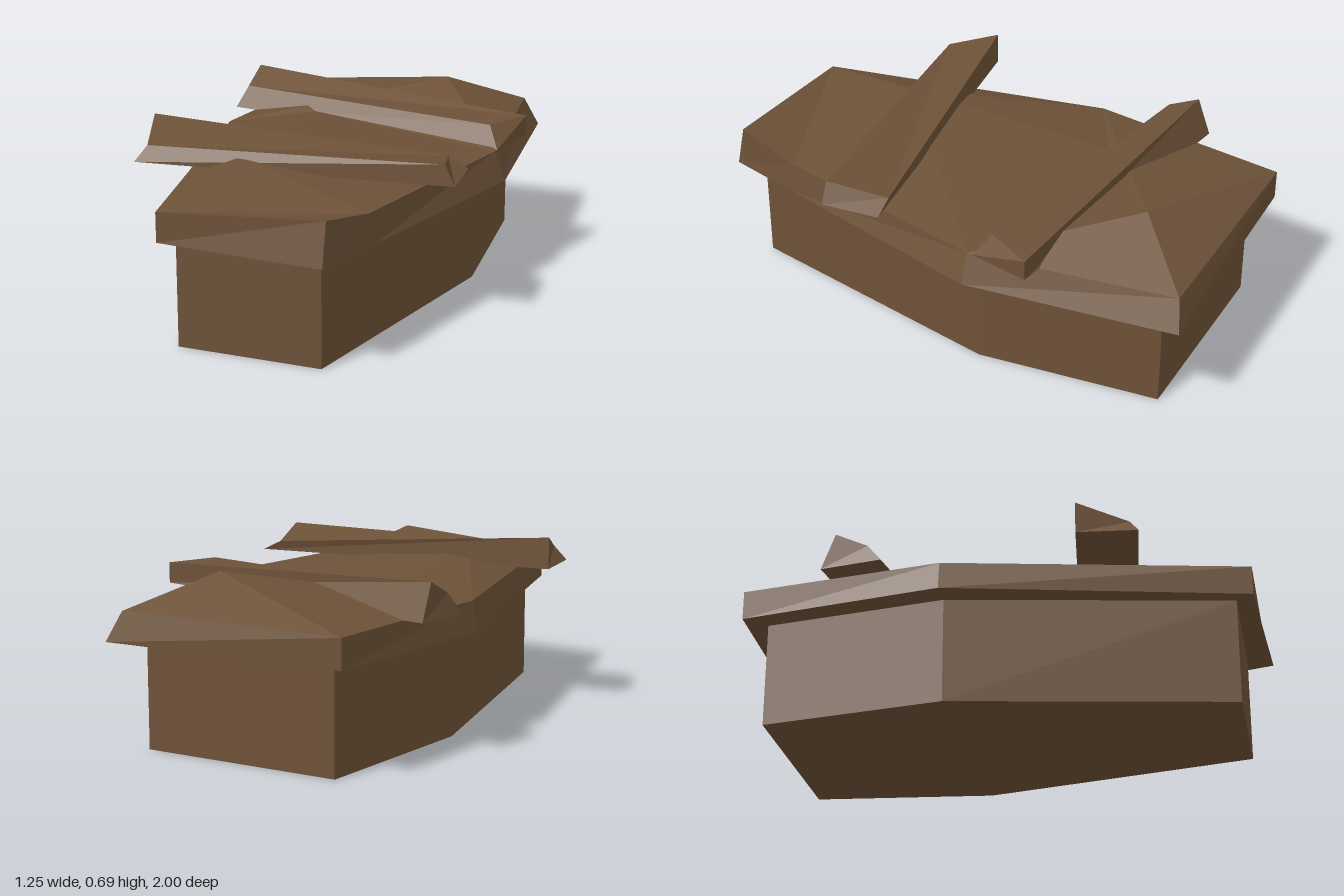
import * as THREE from 'three';

const wood = new THREE.MeshStandardMaterial({ color: 0x6d5138, flatShading: true });
wood.name = 'dark brown wood';

// Faceted solid from a bottom ring and a top ring (counter-clockwise from above).
// Extra peaks may follow the top ring; capFaces then lists the triangles on top.
function facetedSolid(name, bottom, top, capFaces) {
  const n = bottom.length;
  const fan = [];
  for (let i = 1; i < n - 1; i++) fan.push([0, i, i + 1]);
  const triangles = [];
  for (const [a, b, c] of capFaces || fan) triangles.push(top[a], top[b], top[c]);
  for (const [a, b, c] of fan) triangles.push(bottom[a], bottom[c], bottom[b]);
  for (let i = 0; i < n; i++) {
    const j = (i + 1) % n;
    triangles.push(bottom[i], bottom[j], top[j], bottom[i], top[j], top[i]);
  }
  const geometry = new THREE.BufferGeometry();
  geometry.setAttribute('position', new THREE.Float32BufferAttribute(triangles.flat(), 3));
  geometry.computeVertexNormals();
  const mesh = new THREE.Mesh(geometry, wood);
  mesh.name = name;
  return mesh;
}

const atHeight = (points, y) => points.map(([x, z]) => [x, y, z]);

export function createModel() {
  const group = new THREE.Group();
  group.name = 'coffin';

  // Six-sided box, widest at the shoulders
  const boxPlan = [[-0.27, 0.9], [0.29, 0.9], [0.495, -0.18], [0.41, -0.89], [-0.38, -0.89], [-0.475, -0.18]];
  group.add(facetedSolid('box', atHeight(boxPlan, 0), atHeight(boxPlan, 0.415)));

  // Overhanging lid with an uneven, faceted top
  const lidPlan = [[-0.315, 0.965], [0.335, 1], [0.408, 0.7], [0.62, -0.18], [0.515, -1], [-0.455, -0.97], [-0.575, -0.18]];
  const lidTop = [
    [-0.315, 0.53, 0.965], [0.335, 0.58, 0.965], [0.39, 0.53, 0.7], [0.577, 0.53, -0.18],
    [0.46, 0.53, -0.97], [-0.455, 0.53, -0.97], [-0.555, 0.53, -0.18],
    [-0.2, 0.615, 0.5], [-0.25, 0.56, -0.35], [0.2, 0.66, -0.72], // peaks
  ];
  const lidFaces = [
    [0, 1, 2], [0, 2, 7], [2, 3, 7], [3, 8, 7], [7, 8, 6], [0, 7, 6],
    [3, 9, 8], [3, 4, 9], [4, 5, 9], [5, 6, 9], [6, 8, 9],
  ];
  group.add(facetedSolid('lid', atHeight(lidPlan, 0.415), lidTop, lidFaces));

  // Two crooked planks across the lid
  group.add(facetedSolid('frontPlank',
    atHeight([[-0.6, 0.575], [0.615, 0.42], [0.59, 0.19], [-0.625, 0.345]], 0.57),
    [[-0.56, 0.63, 0.54], [0.575, 0.65, 0.42], [0.51, 0.61, 0.19], [-0.625, 0.695, 0.345]]));
  group.add(facetedSolid('backPlank',
    atHeight([[-0.62, -0.39], [0.58, -0.2], [0.623, -0.44], [-0.585, -0.63]], 0.53),
    [[-0.59, 0.61, -0.45], [0.53, 0.61, -0.26], [0.623, 0.61, -0.44], [-0.59, 0.67, -0.575]]));

  return group;
}
